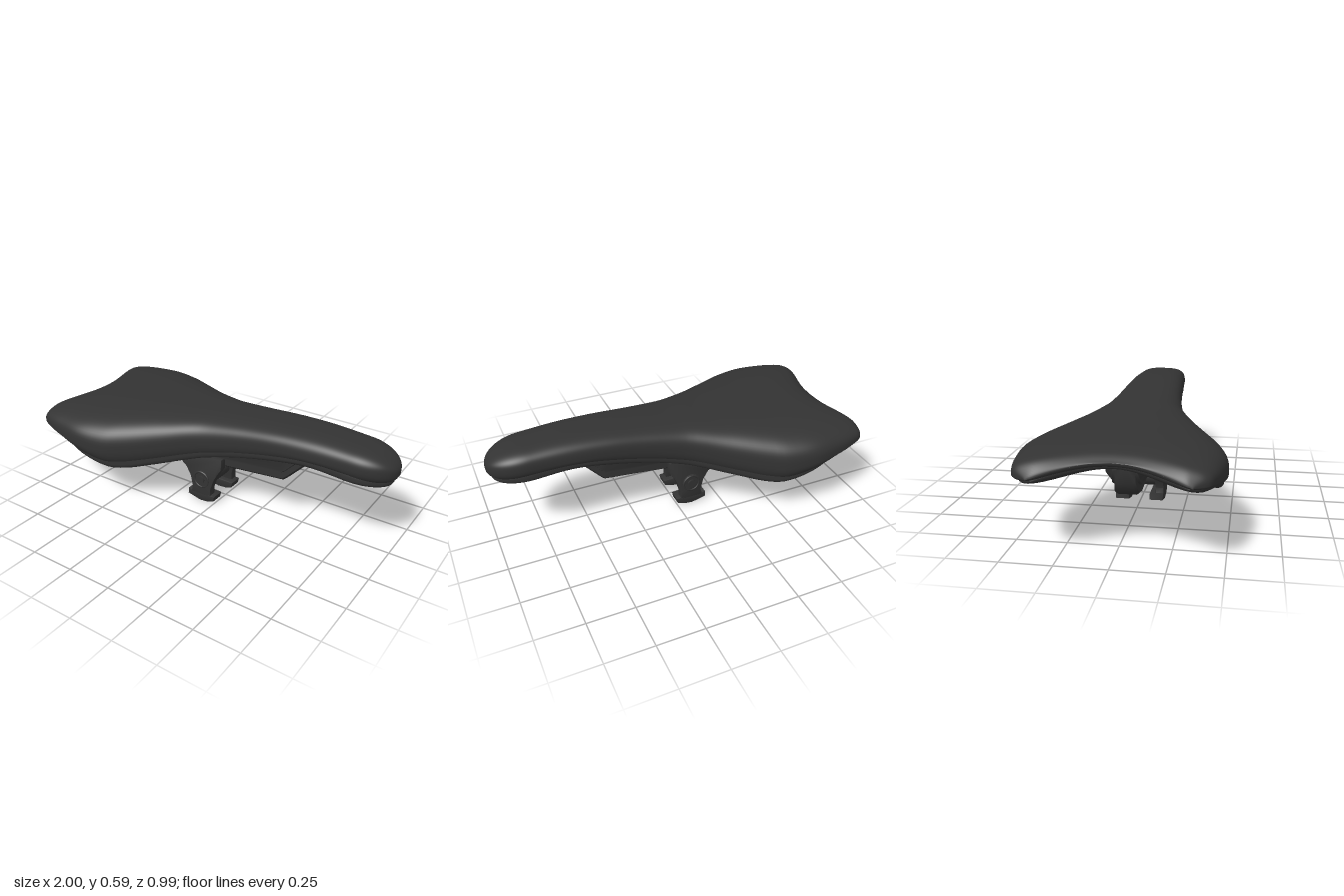
import * as THREE from 'three';
import { mergeVertices, toCreasedNormals } from 'three/addons/utils/BufferGeometryUtils.js';

// Saddle stations, nose at +x: x, half width, top, widest level, lip, underside centre
const STATIONS = [
  [-1, .36, .46, .40, .38, .42], [-.96, .425, .475, .395, .375, .43],
  [-.9, .453, .492, .385, .365, .43], [-.8, .477, .506, .37, .345, .43],
  [-.65, .495, .514, .355, .295, .42], [-.5, .468, .52, .335, .255, .42],
  [-.4, .42, .525, .34, .258, .42], [-.3, .365, .53, .355, .28, .42],
  [-.2, .31, .535, .375, .305, .43], [-.1, .26, .543, .40, .333, .44],
  [0, .222, .55, .42, .36, .45], [.2, .187, .567, .46, .405, .47],
  [.4, .17, .582, .485, .435, .485], [.6, .158, .587, .49, .45, .49],
  [.8, .145, .577, .49, .43, .475], [1, .14, .565, .48, .415, .45],
];

// Smooth cubic interpolation between stations
function station(x) {
  const S = STATIONS, n = S.length;
  let i = 0;
  while (i < n - 2 && x > S[i + 1][0]) i++;
  const slope = (k, c) => {
    const a = S[Math.max(k - 1, 0)], b = S[Math.min(k + 1, n - 1)];
    return (b[c] - a[c]) / (b[0] - a[0]);
  };
  const h = S[i + 1][0] - S[i][0], t = (x - S[i][0]) / h, t2 = t * t, t3 = t2 * t;
  return [1, 2, 3, 4, 5].map(c =>
    (2 * t3 - 3 * t2 + 1) * S[i][c] + (t3 - 2 * t2 + t) * h * slope(i, c) +
    (3 * t2 - 2 * t3) * S[i + 1][c] + (t3 - t2) * h * slope(i + 1, c));
}

// Skin a list of closed rings of [x, y, z]
function loft(rings) {
  const m = rings[0].length, index = [];
  for (let i = 0; i < rings.length - 1; i++) {
    for (let j = 0; j < m; j++) {
      const a = i * m + j, b = i * m + (j + 1) % m;
      index.push(a, b, a + m, b, b + m, a + m);
    }
  }
  const g = new THREE.BufferGeometry();
  g.setAttribute('position', new THREE.Float32BufferAttribute(rings.flat(2), 3));
  g.setIndex(index);
  return g;
}

// Complete a half outline of [z, y] (top centre to bottom centre) by mirroring
const mirrorHalf = half => [...half, ...half.slice(1, -1).reverse().map(([z, y]) => [-z, y])];

// Cover or base shell: rounded top, curled lip and hollow underside
function saddleShell(isBase) {
  const rings = [], rows = 90, p = 3.1;
  for (let r = 0; r <= rows; r++) {
    const x = -Math.cos(Math.PI * r / rows);
    let [w, top, mid, lip, under] = station(x);
    if (isBase) {
      w *= .955; top = under + .03; mid = lip + .005; lip -= .022;
      under = Math.min(under - .015, lip + .1);
    }
    // round off the nose and close its underside
    const nose = x > .8 ? Math.sqrt(Math.max(0, 1 - ((x - .8) / .2) ** 2)) : 1;
    w *= nose;
    top = mid + (top - mid) * nose;
    lip = mid + (lip - mid) * Math.sqrt(nose);
    under = lip + (under - lip) * THREE.MathUtils.clamp((.95 - x) / .15, 0, 1);
    const curl = (isBase ? .06 : .12) + .3 * THREE.MathUtils.smoothstep(x, .2, .85);
    const half = [];
    for (let k = 0; k <= 20; k++) {
      const a = k / 20 * Math.PI / 2;
      half.push([w * Math.sin(a) ** (2 / p), mid + (top - mid) * Math.max(0, Math.cos(a)) ** (2 / p)]);
    }
    for (let k = 1; k <= 6; k++) {
      const b = k / 6 * Math.PI / 2;
      half.push([w * (1 - curl + curl * Math.cos(b)), mid - (mid - lip) * Math.sin(b)]);
    }
    for (let k = 1; k <= 10; k++) {
      const t = k / 10, rise = isBase ? t * t * (3 - 2 * t) : Math.sin(t * Math.PI / 2);
      half.push([(1 - curl) * w * (1 - t), lip + (under - lip) * rise]);
    }
    // thin the tail to an edge and scoop its middle
    const tail = x < -.93 ? Math.sqrt(Math.max(0, 1 - ((-.93 - x) / .07) ** 2)) : 1;
    const fade = Math.max(0, (-.4 - x) / .6) ** 2;
    rings.push(mirrorHalf(half).map(([z, y]) => {
      const edge = .455 - .055 * (z / .33) ** 2 - (isBase ? .02 : 0);
      const scoop = .095 * Math.max(0, 1 - (z / .34) ** 2) ** 1.5 * fade;
      return [(x + scoop) * (isBase ? .975 : 1), edge + (y - edge) * tail, z];
    }));
  }
  const g = mergeVertices(loft(rings), 1e-5);
  g.computeVertexNormals();
  return g;
}

// Keel under the base with a stepped rail along its lower edge
function keelGeometry() {
  // x, bottom, half width below, half width above, top
  const rows = [
    [-.59, .25, .05, .09, .43], [-.56, .2, .058, .12, .44], [-.53, .178, .063, .13, .45],
    [-.48, .17, .066, .135, .45], [0, .22, .066, .12, .47], [.4, .26, .066, .1, .5],
    [.42, .275, .06, .09, .5], [.5, .355, .045, .06, .51], [.57, .415, .035, .045, .51], [.64, .45, .03, .035, .52],
  ];
  const rings = rows.map(([x, b, hb, ht, top]) => {
    const s = Math.min(1, (top - b) / .15);
    return mirrorHalf([[0, top], [ht, top], [(hb + ht) / 2 + .01, b + .11 * s], [hb + .012, b + .068 * s],
      [hb + .012, b + .058 * s], [hb, b + .052 * s], [hb, b + .014 * s], [hb - .015, b], [0, b]])
      .map(([z, y]) => [x, y, z]);
  });
  // close both ends
  const cap = ring => ring.map(() => [ring[0][0], (ring[0][1] + ring[8][1]) / 2, 0]);
  rings.unshift(cap(rings[0]));
  rings.push(cap(rings[rings.length - 1]));
  return toCreasedNormals(loft(rings), .7);
}

// Plate cut from an x-y outline, centred on z = 0
function plate(points, depth) {
  const g = new THREE.ExtrudeGeometry(new THREE.Shape(points.map(q => new THREE.Vector2(...q))), {
    depth: depth - .008, bevelThickness: .004, bevelSize: .004, bevelOffset: -.004, bevelSegments: 2,
  });
  return g.translate(0, 0, -depth / 2 + .004);
}

export function createModel() {
  const model = new THREE.Group();
  model.name = 'bicycleSaddle';
  const dark = new THREE.MeshStandardMaterial({ color: 0x333333 });
  dark.name = 'charcoal';

  const add = (name, geometry, parent = model) => {
    const mesh = new THREE.Mesh(geometry, dark);
    mesh.name = name;
    parent.add(mesh);
    return mesh;
  };

  add('paddedCover', saddleShell(false));
  add('baseShell', saddleShell(true));
  add('keelRail', keelGeometry());

  // Clamp cheeks on both sides, leaning in towards the rail
  const cheek = [[-.225, .255], [.04, .285], [.042, .225], [.02, .19], [0, .15], [-.018, .09],
    [-.018, .04], [-.15, .04], [-.14, .08], [-.158, .14], [-.19, .185], [-.22, .205]];
  const foot = [[.008, .05], [-.02, .052], [-.145, .052], [-.168, .055],
    [-.172, .02], [-.14, .012], [-.09, 0], [-.04, .004], [0, .018]];
  for (const side of [1, -1]) {
    const clamp = new THREE.Group();
    clamp.name = side > 0 ? 'leftClamp' : 'rightClamp';
    model.add(clamp);

    const g = plate(cheek, .044);
    const pos = g.attributes.position;
    for (let i = 0; i < pos.count; i++) {
      const lean = Math.max(0, pos.getY(i) - .1) * .14;
      pos.setZ(i, pos.getZ(i) + side * (.108 - lean));
    }
    add('clampCheek', toCreasedNormals(g, .6), clamp);
    add('clampFoot', toCreasedNormals(plate(foot, .075), .6), clamp).position.z = side * .0925;

    // bolt boss, rim and head
    const bolt = (name, radius, length, z) => {
      const m = add(name, new THREE.CylinderGeometry(radius, radius, length, 32).rotateX(Math.PI / 2), clamp);
      m.position.set(-.083, .135, side * z);
    };
    bolt('boltBoss', .055, .05, .1);
    bolt('boltHead', .022, .01, .126);
    const rim = add('boltRim', new THREE.TorusGeometry(.047, .007, 8, 32), clamp);
    rim.position.set(-.083, .135, side * .123);
  }

  // Cross tube joining the clamps
  const tube = add('crossTube', new THREE.CylinderGeometry(.055, .055, .18, 32).rotateX(Math.PI / 2));
  tube.position.set(-.083, .135, 0);

  return model;
}
